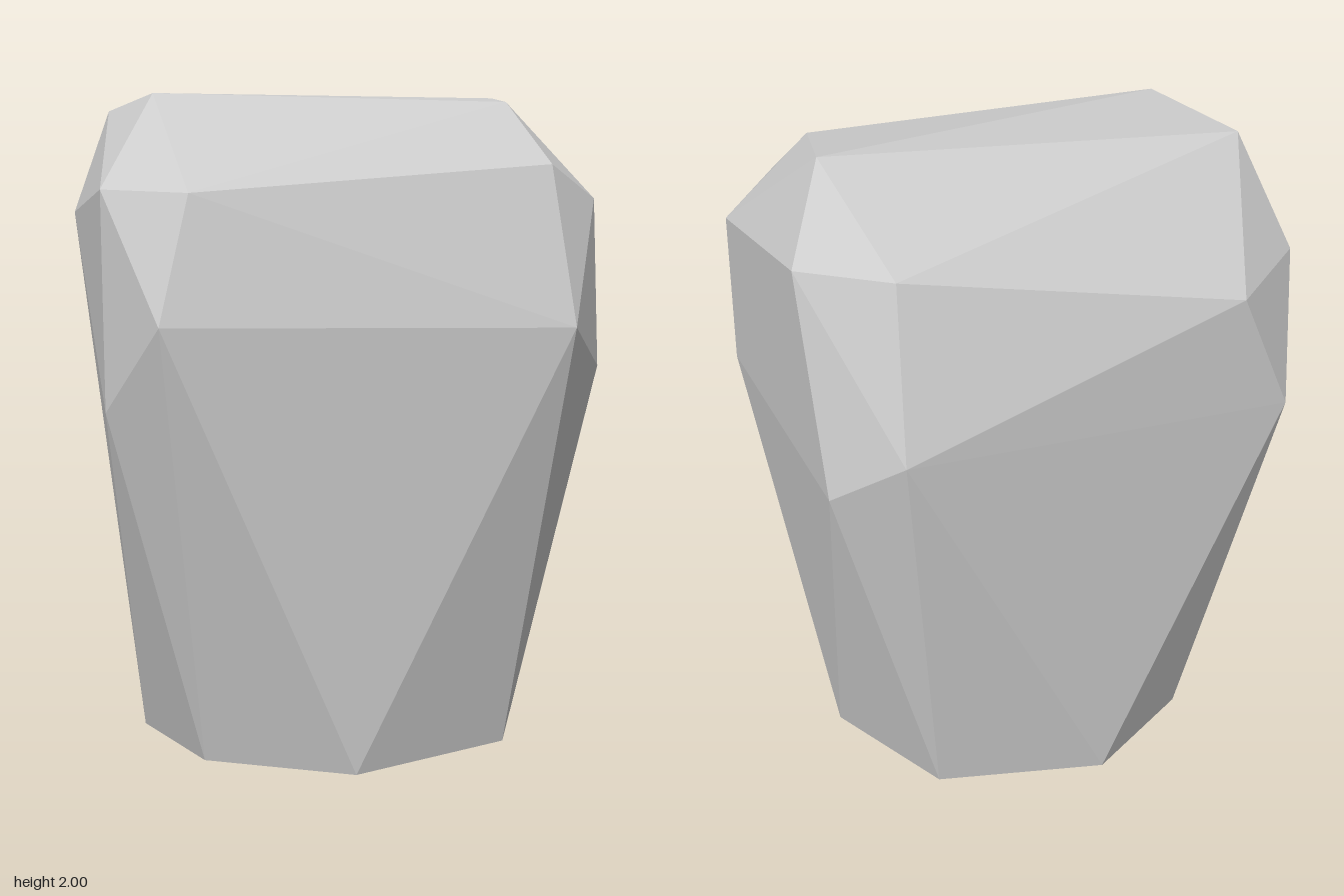
import * as THREE from 'three';
import { ConvexGeometry } from 'three/addons/geometries/ConvexGeometry.js';

export function createModel() {
  const group = new THREE.Group();
  group.name = 'rock';
  const points = (rows) => rows.map(([x, y, z]) => new THREE.Vector3(x, y, z));

  // Flat eight-sided foot
  const base = points([
    [-0.06, 0, 0.605], [0.455, 0, 0.465], [0.645, 0, -0.06], [0.45, 0, -0.47],
    [-0.06, 0, -0.635], [-0.43, 0, -0.46], [-0.6, 0, 0.03], [-0.47, 0, 0.38],
  ]);

  // Widest ring, where the tapered sides end
  const shoulder = points([
    [-0.625, 1.33, 0.63], [0.59, 1.305, 0.64], [0.745, 1.17, 0.46], [0.745, 1.175, -0.465],
    [0.58, 1.335, -0.64], [-0.64, 1.23, -0.62], [-0.745, 1.07, 0.39],
  ]);

  // Upper ring, chamfered inwards
  const upper = points([
    [-0.525, 1.69, 0.545], [0.57, 1.775, 0.485], [0.745, 1.675, 0.405], [0.745, 1.79, -0.28],
    [0.53, 1.8, -0.485], [-0.47, 1.6, -0.61], [-0.745, 1.63, -0.42], [-0.745, 1.7, 0.37],
  ]);

  // Ridge along the top
  const crown = points([
    [-0.555, 1.985, 0.115], [0.525, 1.97, 0.225], [0.585, 2, -0.05], [-0.645, 1.95, -0.24],
  ]);

  const boulder = new THREE.Mesh(
    new ConvexGeometry([...base, ...shoulder, ...upper, ...crown]),
    new THREE.MeshStandardMaterial({ color: 0xcccccc, flatShading: true })
  );
  boulder.name = 'boulder';
  group.add(boulder);
  return group;
}
